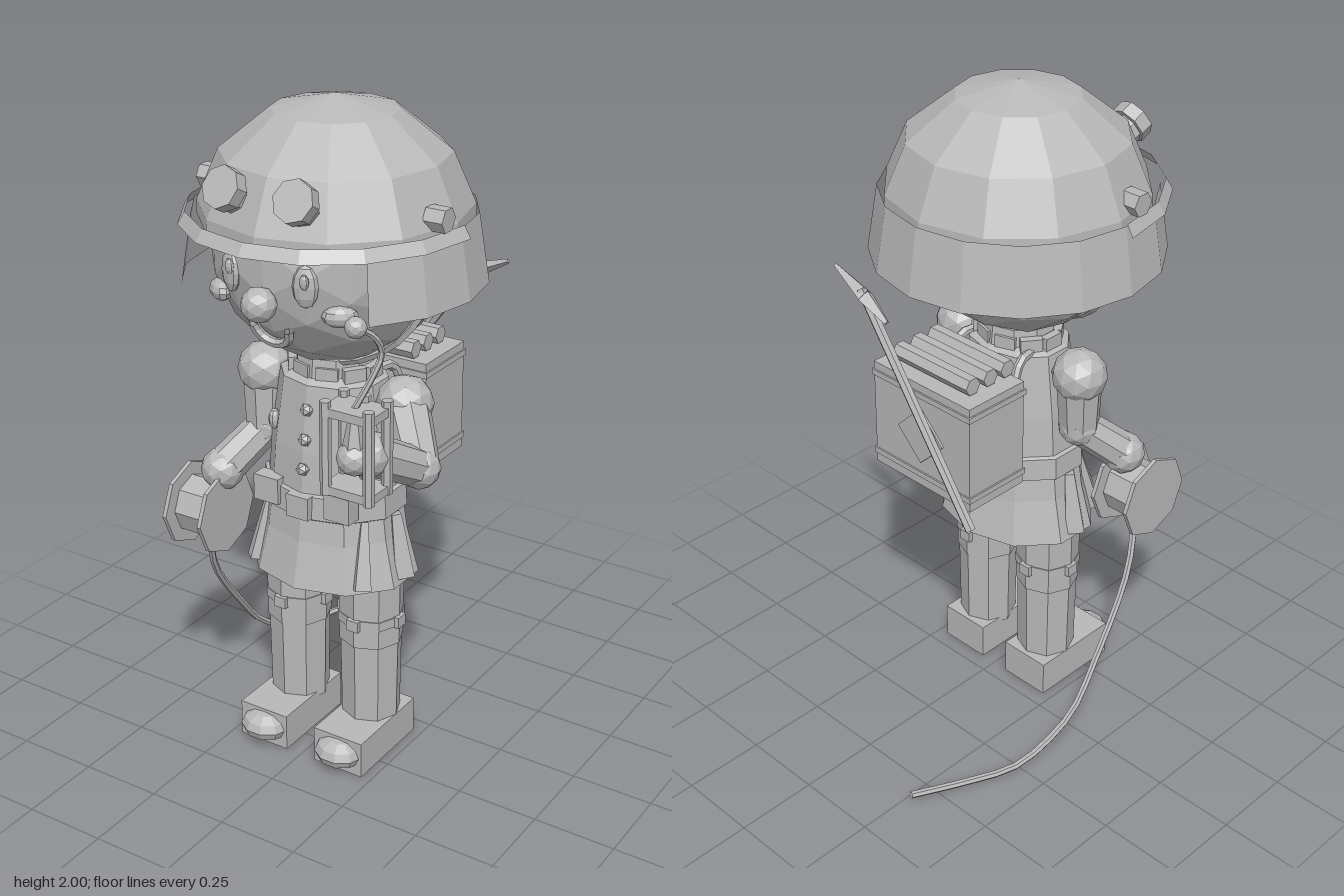
import * as THREE from 'three';

const grey = new THREE.MeshStandardMaterial({ color: 0xb8b8b8, flatShading: true, side: THREE.DoubleSide });
grey.name = 'plain grey';

const V = (x, y, z) => new THREE.Vector3(x, y, z);

export function createModel() {
  const model = new THREE.Group();
  model.name = 'minerFigure';

  // helpers
  const add = (name, geo, x = 0, y = 0, z = 0) => {
    const m = new THREE.Mesh(geo, grey);
    m.name = name;
    m.position.set(x, y, z);
    model.add(m);
    return m;
  };
  const box = (name, w, h, d, x, y, z) => add(name, new THREE.BoxGeometry(w, h, d), x, y, z);
  const ball = (name, r, x, y, z, detail = 1) => add(name, new THREE.IcosahedronGeometry(r, detail), x, y, z);
  const oval = (name, rx, ry, rz, x, y, z) => {
    const m = add(name, new THREE.SphereGeometry(1, 10, 6), x, y, z);
    m.scale.set(rx, ry, rz);
    return m;
  };
  const rod = (name, a, b, r1, r2 = r1, sides = 8) => {
    const dir = b.clone().sub(a);
    const m = add(name, new THREE.CylinderGeometry(r2, r1, dir.length(), sides));
    m.position.copy(a).add(b).multiplyScalar(0.5);
    m.quaternion.setFromUnitVectors(V(0, 1, 0), dir.normalize());
    return m;
  };
  const lathe = (name, pts, sides, z, start = 0, length = Math.PI * 2) =>
    add(name, new THREE.LatheGeometry(pts.map(p => new THREE.Vector2(p[0], p[1])), sides, start, length), 0, 0, z);
  const tube = (name, pts, r, segs = 12) =>
    add(name, new THREE.TubeGeometry(new THREE.CatmullRomCurve3(pts.map(p => V(...p))), segs, r, 6));

  // head and face
  ball('head', 0.34, 0, 1.592, 0.155, 2);
  ball('nose', 0.05, 0.005, 1.513, 0.515);
  for (const s of [-1, 1]) {
    oval('eye', 0.036, 0.06, 0.02, s * 0.12, 1.57, 0.465).rotation.y = s * 0.35;
    oval('pupil', 0.014, 0.022, 0.01, s * 0.12 + 0.01, 1.59, 0.485);
    oval('cheek', 0.05, 0.03, 0.03, s * 0.195, 1.487, 0.415).rotation.y = s * 0.6;
  }
  const mouth = add('mouth', new THREE.TorusGeometry(0.058, 0.014, 6, 8, Math.PI), 0, 1.43, 0.455);
  mouth.rotation.set(0.4, 0, Math.PI);
  const chin = add('chinStrap', new THREE.TorusGeometry(0.341, 0.012, 4, 16, Math.PI), 0, 1.592, 0.155);
  chin.rotation.set(-0.2, 0, Math.PI);

  // helmet dome, front brim and flared neck guard
  lathe('helmetDome', [[0.387, 1.66], [0.385, 1.7], [0.322, 1.845], [0.18, 1.96], [0.001, 2]], 12, 0.138);
  lathe('helmetBrim', [[0.455, 1.665], [0.433, 1.7]], 8, 0.138, -Math.PI / 2, Math.PI).scale.x = 0.94;
  lathe('neckGuard', [[0.432, 1.49], [0.4, 1.69]], 12, 0.142, Math.PI / 4, Math.PI * 1.5);
  for (const s of [-1, 1]) {
    rod('helmetLampBase', V(s * 0.105, 1.77, 0.44), V(s * 0.113, 1.8, 0.492), 0.05);
    rod('helmetLamp', V(s * 0.112, 1.795, 0.474), V(s * 0.115, 1.814, 0.51), 0.06);
    rod('helmetBolt', V(s * 0.34, 1.73, 0.21), V(s * 0.4, 1.73, 0.21), 0.036, 0.036, 6);
  }

  // coat: hem, skirt, belt and chest
  lathe('coat', [[0.2, 0.59], [0.262, 0.59], [0.225, 0.73], [0.215, 0.8], [0.205, 0.88],
    [0.195, 1.0], [0.165, 1.2], [0.12, 1.22], [0.001, 1.22]], 10, 0.152).scale.z = 0.84;
  lathe('belt', [[0.215, 0.8], [0.224, 0.805], [0.22, 0.875], [0.208, 0.88]], 10, 0.152).scale.z = 0.84;
  add('neck', new THREE.CylinderGeometry(0.11, 0.12, 0.09, 10), 0, 1.225, 0.15);
  for (let i = 0; i < 10; i++) {
    const a = (i + 0.5) * Math.PI / 5;
    box('collarPiece', 0.065, 0.045, 0.025, Math.sin(a) * 0.13, 1.225, 0.15 + Math.cos(a) * 0.1).rotation.y = a;
  }
  [[1.13, 0.3], [1.042, 0.312], [0.955, 0.325]].forEach(([y, z]) => ball('button', 0.02, 0.005, y, z, 0));
  box('beltBuckle', 0.075, 0.07, 0.03, 0, 0.843, 0.335);
  for (const s of [-1, 1]) {
    box('beltPouch', 0.085, 0.08, 0.05, s * 0.122, 0.86, 0.305);
    oval('chestEyelet', 0.018, 0.032, 0.02, s * 0.135, 1.055, 0.26);
    rod('frontFlap', V(s * 0.185, 0.605, 0.295), V(s * 0.165, 0.8, 0.25), 0.034, 0.014, 4);
    rod('sideFlap', V(s * 0.24, 0.605, 0.155), V(s * 0.212, 0.8, 0.155), 0.04, 0.02, 4);
  }

  // legs and boots
  for (const s of [-1, 1]) {
    const x = s * 0.13;
    add('upperLeg', new THREE.CylinderGeometry(0.1, 0.098, 0.26, 8), x, 0.5, 0.155);
    add('lowerLeg', new THREE.CylinderGeometry(0.094, 0.09, 0.28, 8), x, 0.24, 0.155);
    add('kneeBand', new THREE.CylinderGeometry(0.102, 0.102, 0.03, 8), x, 0.448, 0.155);
    for (let i = 0; i < 4; i++) {
      const a = i * Math.PI / 2;
      box('kneeBuckle', 0.04, 0.035, 0.022, x + Math.sin(a) * 0.097, 0.448, 0.155 + Math.cos(a) * 0.097).rotation.y = a;
    }
    box('boot', 0.168, 0.115, 0.3, s * 0.135, 0.0575, 0.2);
    oval('toeCap', 0.08, 0.048, 0.075, s * 0.135, 0.06, 0.335);
  }

  // arms: shoulder, elbow and hand joined by tapered sleeves
  const arm = (shoulder, elbow, hand) => {
    ball('shoulder', 0.083, ...shoulder);
    rod('upperArm', V(...shoulder), V(...elbow), 0.07, 0.06);
    ball('elbow', 0.062, ...elbow);
    rod('forearm', V(...elbow), V(...hand), 0.055, 0.06);
    ball('hand', 0.066, ...hand);
  };
  arm([-0.24, 1.155, 0.155], [-0.235, 0.975, 0.165], [-0.31, 0.86, 0.285]);
  arm([0.24, 1.155, 0.155], [0.365, 1.04, 0.285], [0.315, 1.14, 0.465]);

  // cable spool with octagonal flanges and its trailing cable
  const reel = (name, x0, x1, r) => rod(name, V(x0, 0.735, 0.31), V(x1, 0.735, 0.31), r);
  reel('spoolHub', -0.41, -0.29, 0.09);
  reel('spoolFlangeOuter', -0.42, -0.407, 0.132);
  reel('spoolFlangeInner', -0.293, -0.28, 0.132);
  tube('cable', [[-0.35, 0.64, 0.31], [-0.39, 0.48, 0.235], [-0.425, 0.26, 0.06], [-0.44, 0.13, -0.06],
    [-0.425, 0.055, -0.18], [-0.405, 0.025, -0.28], [-0.355, 0.025, -0.41], [-0.28, 0.038, -0.59]], 0.011, 18);

  // hand lantern with corner posts, glass bulb and a curled wick
  for (const y of [1.05, 1.275]) {
    box('lanternFrame', 0.155, 0.025, 0.105, 0.302, y, 0.503);
  }
  for (const x of [0.235, 0.302, 0.37])
    for (const z of [0.458, 0.548])
      if (x !== 0.302 || z < 0.5) rod('lanternPost', V(x, 1.035, z), V(x, 1.305, z), 0.016, 0.016, 6);
  ball('lanternGlass', 0.05, 0.305, 1.145, 0.515);
  rod('lanternChimney', V(0.305, 1.17, 0.515), V(0.305, 1.27, 0.515), 0.035, 0.015, 6);
  tube('lanternWick', [[0.3, 1.28, 0.51], [0.335, 1.37, 0.475], [0.35, 1.43, 0.455], [0.348, 1.485, 0.485],
    [0.325, 1.525, 0.535]], 0.009);
  ball('wickTip', 0.03, 0.325, 1.525, 0.54);

  // backpack with bands, a diamond plate, rolls and shoulder straps
  box('backpack', 0.39, 0.345, 0.22, 0, 1.022, -0.143);
  for (const y of [0.89, 1.16]) box('backpackBand', 0.4, 0.018, 0.23, 0, y, -0.143);
  box('diamondPlate', 0.13, 0.13, 0.008, 0, 1.025, -0.256).rotation.z = Math.PI / 4;
  for (const z of [-0.053, -0.122, -0.192]) rod('roll', V(-0.15, 1.225, z), V(0.15, 1.225, z), 0.028, 0.028, 6);
  for (const s of [-1, 1])
    tube('shoulderStrap', [[s * 0.1, 1.2, 0.13], [s * 0.12, 1.2, 0.03], [s * 0.13, 1.1, -0.01], [s * 0.13, 0.96, -0.035]], 0.014);

  // pickaxe slung diagonally across the back
  rod('pickHandle', V(-0.225, 0.815, -0.28), V(0.215, 1.43, -0.272), 0.016, 0.016, 6);
  rod('pickHeadOuter', V(0.2, 1.41, -0.272), V(0.325, 1.465, -0.27), 0.026, 0.007, 4);
  rod('pickHeadInner', V(0.2, 1.41, -0.272), V(0.11, 1.36, -0.275), 0.026, 0.008, 4);

  return model;
}
